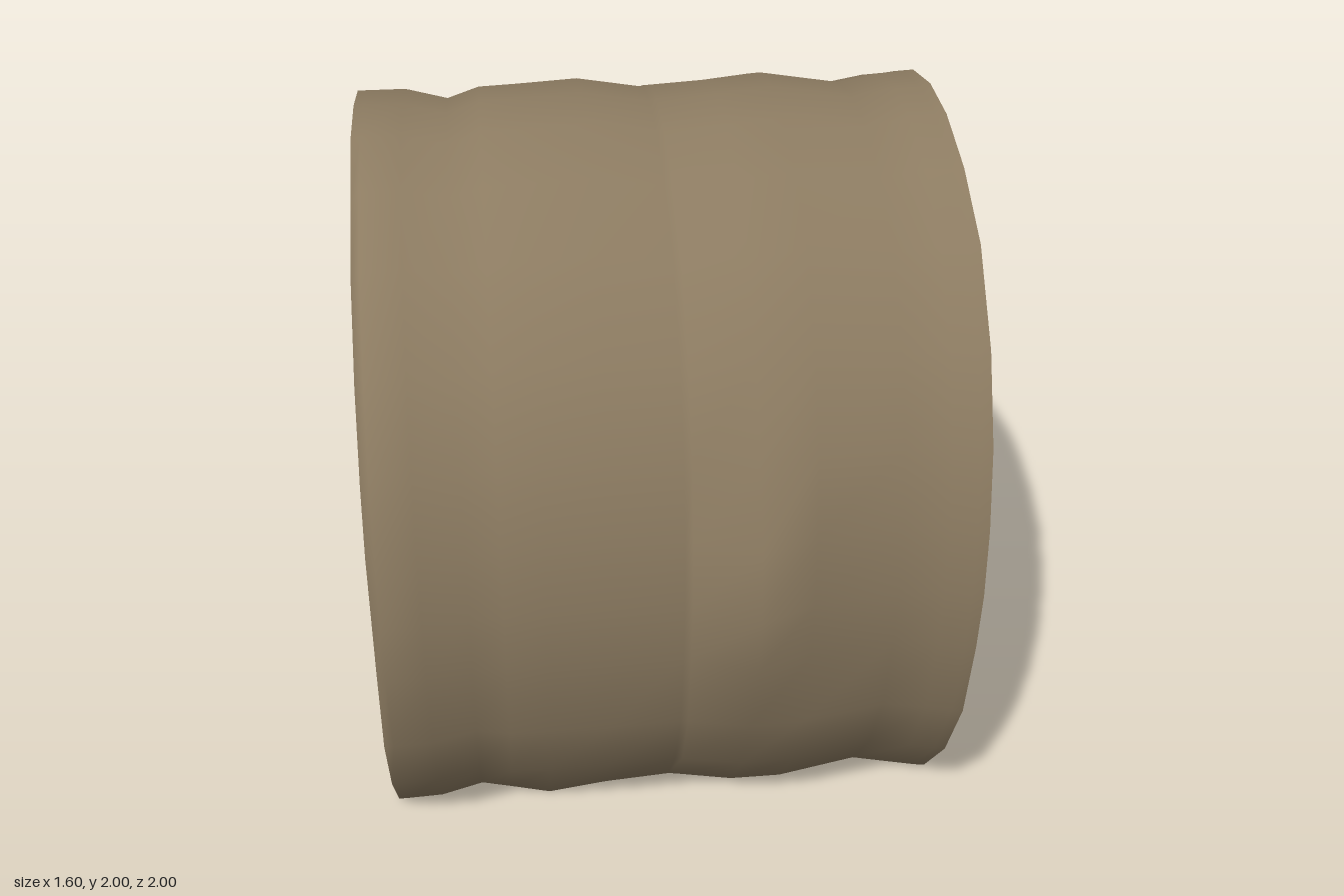
import * as THREE from 'three';

// Half outline from bottom corner to crown: [depth fraction, height fraction]
const HALF = [
  [0.62, 0], [0.81, 0.11], [0.935, 0.23], [0.985, 0.36], [1, 0.45], [0.985, 0.55],
  [0.935, 0.66], [0.825, 0.775], [0.64, 0.885], [0.42, 0.95], [0.2, 0.988], [0, 1],
];
const OUTLINE = [
  ...HALF,
  ...HALF.slice(0, -1).reverse().map(([u, v]) => [-u, v]),
];

// Cross-sections along the length: x, bottom, top, front depth, back depth
const SECTIONS = [
  [-0.8, 0.025, 1.985, 0.935, 0.985],
  [-0.775, 0.025, 1.985, 0.935, 0.985],
  [-0.67, 0.03, 1.985, 0.935, 0.99],
  [-0.55, 0.05, 1.955, 0.905, 0.96],
  [-0.46, 0.035, 1.985, 0.92, 0.985],
  [-0.35, 0.03, 1.99, 0.92, 0.99],
  [-0.18, 0.03, 2.0, 0.92, 0.995],
  [0.01, 0.045, 1.97, 0.92, 0.97],
  [0.03, 0.045, 1.975, 0.925, 0.975],
  [0.2, 0.022, 1.985, 0.945, 0.985],
  [0.35, 0.02, 2.0, 0.94, 1.0],
  [0.58, 0.05, 1.965, 0.905, 0.965],
  [0.7, 0.03, 1.985, 0.92, 0.99],
  [0.77, 0.022, 1.99, 0.935, 0.99],
  [0.8, 0.02, 1.995, 0.94, 0.985],
];

// Flattened rims: section x -> [front limit, back limit]
const LIMITS = { '-0.8': [0.89, 1], '0.77': [1, 0.96], '0.8': [1, 0.88] };

// Worn spots: section x, first and last outline point, change in y and z
const WEAR = [
  [-0.8, 6, 9, -0.03, -0.03],   // upper front rim
  [-0.8, 13, 16, -0.035, 0.035], // upper back rim
  [-0.8, 20, 20, 0, 0.03],      // lower back corner, cut away
  [-0.8, 21, 21, 0, 0.1],
  [-0.8, 22, 22, 0, 0.24],
  [-0.775, 22, 22, 0, 0.17],
  [-0.35, 0, 0, -0.025, 0],     // low point of the front edge
  [0.2, 3, 5, 0, 0.045],        // bulge on the front
  [0.2, 4, 4, 0, 0.01],
];

function ring([x, bottom, top, front, back]) {
  const [frontLimit, backLimit] = LIMITS[x] ?? [1, 1];
  const points = OUTLINE.map(([u, v]) => [
    x,
    bottom + v * (top - bottom),
    THREE.MathUtils.clamp(u * (u > 0 ? front : back), -backLimit, frontLimit),
  ]);
  for (const [at, first, last, dy, dz] of WEAR) {
    if (at !== x) continue;
    for (let j = first; j <= last; j++) {
      points[j][1] += dy;
      points[j][2] += dz;
    }
  }
  return points;
}

function makeGeometry(points, index) {
  const geometry = new THREE.BufferGeometry();
  geometry.setAttribute('position', new THREE.Float32BufferAttribute(points.flat(), 3));
  geometry.setIndex(index);
  geometry.computeVertexNormals();
  return geometry;
}

// Shallow dished end closing one ring, deepest low on the face
function capGeometry(points, facesRight) {
  const n = points.length;
  const index = [];
  for (let j = 0; j < n; j++) {
    const k = (j + 1) % n;
    index.push(n, ...(facesRight ? [k, j] : [j, k]));
  }
  return makeGeometry([...points, [facesRight ? 0.73 : -0.73, 0.5, 0.05]], index);
}

export function createModel() {
  const group = new THREE.Group();
  group.name = 'flatBottomedLog';
  const material = new THREE.MeshStandardMaterial({ color: 0x8c7b61 });
  material.name = 'brown';

  const rings = SECTIONS.map(ring);
  const n = OUTLINE.length;

  // Smooth skin through all cross-sections, including the flat underside
  const index = [];
  for (let i = 0; i < rings.length - 1; i++) {
    for (let j = 0; j < n; j++) {
      const k = (j + 1) % n;
      const a = i * n + j, b = a + n, c = (i + 1) * n + k, d = i * n + k;
      index.push(a, b, c, a, c, d);
    }
  }

  const add = (name, geometry) => {
    const mesh = new THREE.Mesh(geometry, material);
    mesh.name = name;
    group.add(mesh);
  };
  add('body', makeGeometry(rings.flat(), index));
  add('leftEnd', capGeometry(rings[rings.length - 1], true));
  add('rightEnd', capGeometry(rings[0], false));
  return group;
}
